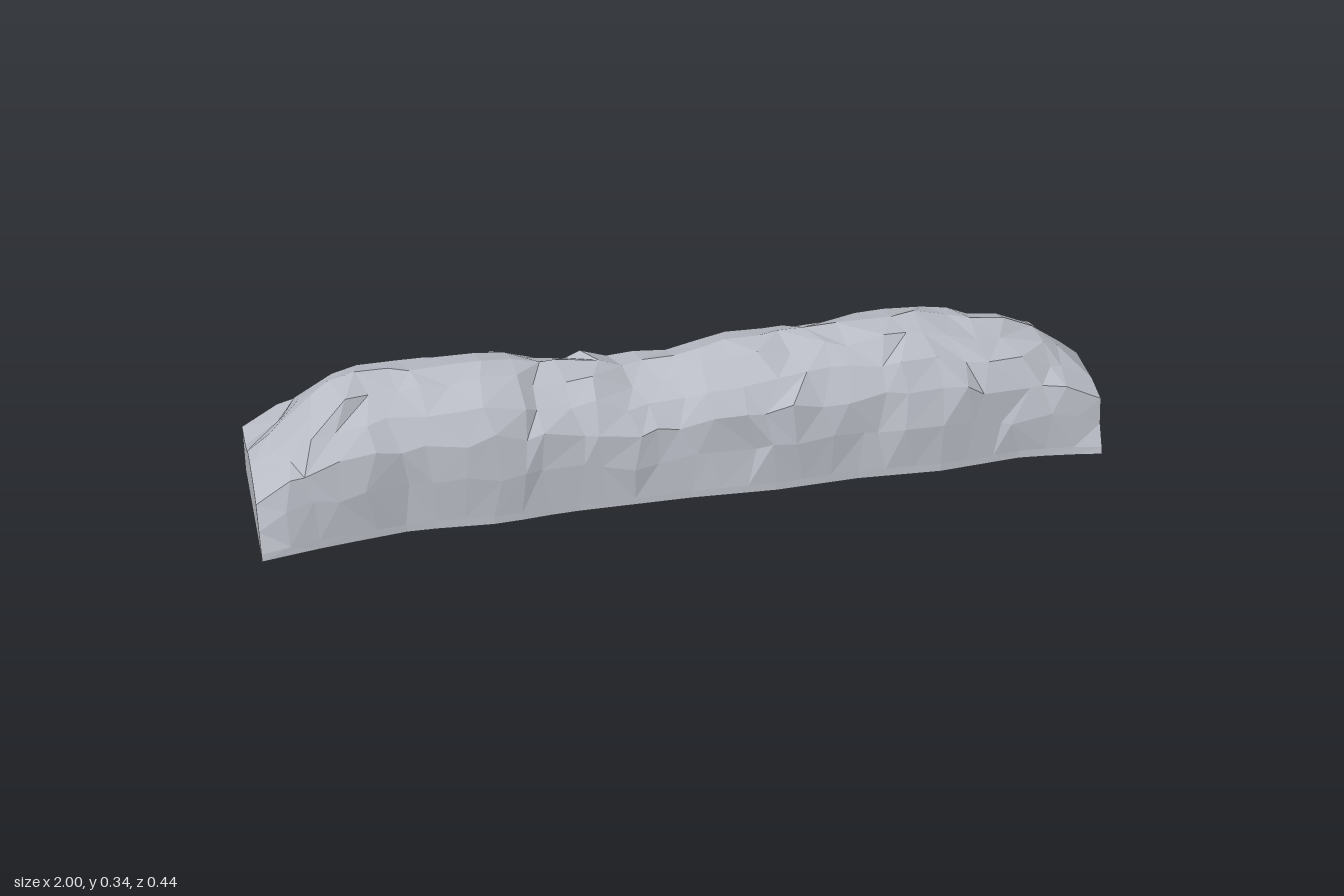
import * as THREE from 'three';

const stone = new THREE.MeshStandardMaterial({ color: 0xb8bbc4, flatShading: true });
stone.name = 'pale grey stone';

// Outlines as [x, value] pairs: ridge height, front edge and back edge
const ridge = [[-1, .16], [-.95, .2], [-.88, .27], [-.8, .325], [-.75, .337], [-.6, .325], [-.43, .335],
  [-.35, .312], [-.2, .3], [-.13, .277], [0, .285], [.08, .31], [.25, .32], [.4, .32], [.58, .33],
  [.7, .3], [.77, .295], [.85, .27], [.93, .22], [1, .165]];
const front = [[-1, .218], [-.85, .192], [-.65, .168], [-.45, .185], [-.3, .172], [0, .176], [.2, .188],
  [.4, .182], [.6, .195], [.8, .18], [.9, .19], [1, .208]];
const back = [[-1, .185], [-.9, .2], [-.75, .195], [-.6, .222], [-.4, .21], [-.25, .2], [-.05, .216],
  [.15, .21], [.3, .2], [.45, .2], [.7, .183], [.85, .212], [.95, .2], [1, .172]];

// Cross-section from front foot over the ridge to back foot: [share of half width, share of height]
const middle = [[1, 0], [.99, .06], [.95, .35], [.87, .64], [.66, .81], [.36, .94], [0, 1],
  [-.28, .95], [-.52, .83], [-.78, .63], [-.9, .38], [-.99, .06], [-1, 0]];
const ends = [[1, 0], [.98, .1], [.89, .45], [.8, .77], [.53, .86], [.27, .97], [0, 1],
  [-.2, .93], [-.42, .82], [-.87, .74], [-.93, .42], [-.99, .1], [-1, 0]];

function sample(table, x) {
  for (let i = 1; i < table.length; i++) {
    const [x0, v0] = table[i - 1], [x1, v1] = table[i];
    if (x <= x1) return v0 + (v1 - v0) * (x - x0) / (x1 - x0);
  }
  return table[table.length - 1][1];
}

// Repeatable noise from -1 to 1
function noise(i, j, k) {
  const s = Math.sin(i * 127.1 + j * 311.7 + k * 74.7) * 43758.5453;
  return (s - Math.floor(s)) * 2 - 1;
}

function crossSection(i, count) {
  const x = -1 + 2 * i / count;
  const blend = THREE.MathUtils.smoothstep(1 - Math.abs(x), 0, .25);
  const inner = i > 0 && i < count ? 1 : 0;
  return middle.map(([u, v], j) => {
    const rough = j > 1 && j < 11 ? 1 : 0;
    const px = x + inner * rough * noise(i, j, 1) * .026;
    const pu = THREE.MathUtils.lerp(ends[j][0], u, blend);
    const pv = THREE.MathUtils.lerp(ends[j][1], v, blend);
    const half = sample(pu > 0 ? front : back, px);
    const bump = j === 6 ? .002 : .012;
    const y = pv * sample(ridge, px) + rough * noise(i, j, 2) * bump;
    const z = pu * half + rough * noise(i, j, 3) * .009;
    return new THREE.Vector3(px, y, z);
  });
}

function rockGeometry() {
  const count = 30, n = middle.length;
  const rings = Array.from({ length: count + 1 }, (_, i) => crossSection(i, count));
  const points = [];
  const tri = (...corners) => corners.forEach(p => points.push(p.x, p.y, p.z));

  // Sides, top and underside, with diagonals that vary
  for (let i = 0; i < count; i++) {
    for (let j = 0; j < n; j++) {
      const k = (j + 1) % n;
      const a = rings[i][j], b = rings[i + 1][j], c = rings[i + 1][k], d = rings[i][k];
      if (noise(i, j, 4) > 0) { tri(a, b, c); tri(a, c, d); }
      else { tri(a, b, d); tri(b, c, d); }
    }
  }
  // Flat end faces
  for (const i of [0, count]) {
    const centre = new THREE.Vector3(i ? 1 : -1, 0, 0);
    for (let j = 0; j < n - 1; j++) {
      const p = rings[i][j], q = rings[i][j + 1];
      if (i) tri(centre, q, p); else tri(centre, p, q);
    }
  }
  const geometry = new THREE.BufferGeometry();
  geometry.setAttribute('position', new THREE.Float32BufferAttribute(points, 3));
  geometry.computeVertexNormals();
  return geometry;
}

export function createModel() {
  const model = new THREE.Group();
  model.name = 'rockRidge';
  const rock = new THREE.Mesh(rockGeometry(), stone);
  rock.name = 'rock';
  model.add(rock);
  return model;
}
